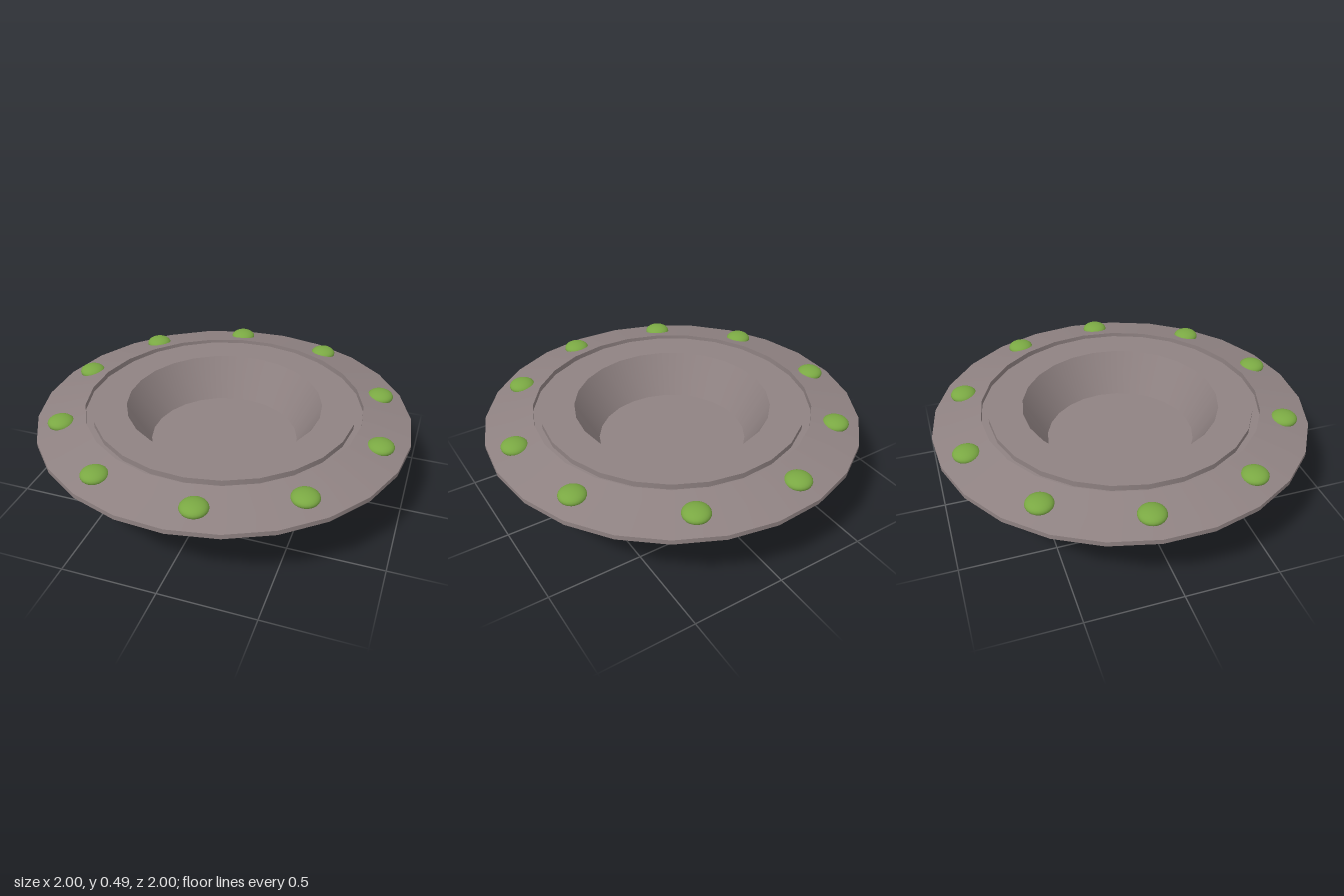
import * as THREE from 'three';

const SIDES = 25;
const hullMat = new THREE.MeshStandardMaterial({ color: 0x8f8282 });
const lightMat = new THREE.MeshStandardMaterial({ color: 0x7aa843 });

// One smooth band of the hull, revolved from [radius, height] pairs
function band(name, profile) {
  const points = profile.map(([r, y]) => new THREE.Vector2(r, y));
  const mesh = new THREE.Mesh(new THREE.LatheGeometry(points, SIDES, Math.PI / 2), hullMat);
  mesh.name = name;
  return mesh;
}

// A ring of flattened domes; angles in degrees run from +x towards +z
function lightRing(name, angles, ringRadius, y, size, height) {
  const ring = new THREE.Group();
  ring.name = name;
  const geometry = new THREE.SphereGeometry(1, 24, 16);
  angles.forEach((deg) => {
    const a = THREE.MathUtils.degToRad(deg);
    const dome = new THREE.Mesh(geometry, lightMat);
    dome.name = 'domeLight';
    dome.scale.set(size, height, size);
    dome.position.set(ringRadius * Math.cos(a), y, ringRadius * Math.sin(a));
    ring.add(dome);
  });
  return ring;
}

export function createModel() {
  const saucer = new THREE.Group();
  saucer.name = 'saucer';

  // Hull bands, from the bottom point outwards and back over the top
  const hull = new THREE.Group();
  hull.name = 'hull';
  hull.add(
    band('underside', [[0, 0], [0.5, 0.15], [0.64, 0.235], [0.78, 0.335], [1.004, 0.39]]),
    band('rimEdge', [[1.004, 0.39], [1.004, 0.415]]),
    band('upperSlope', [[1.004, 0.415], [0.745, 0.48]]),
    // Narrow groove around the deck
    band('grooveOuterWall', [[0.745, 0.48], [0.745, 0.45]]),
    band('grooveFloor', [[0.745, 0.45], [0.705, 0.45]]),
    band('grooveInnerWall', [[0.705, 0.45], [0.705, 0.48]]),
    // Deck and central recess
    band('deck', [[0.705, 0.48], [0.525, 0.48]]),
    band('recessWall', [[0.525, 0.48], [0.402, 0.26]]),
    band('recessFloor', [[0.402, 0.26], [0, 0.26]])
  );
  saucer.add(hull);

  // Slightly uneven rings of lights above and below
  saucer.add(
    lightRing('upperLights', [7.3, 46, 80, 116, 150.5, 188.5, 223, 259, 295, 334], 0.87, 0.449, 0.07, 0.036),
    lightRing('lowerLights', [40, 96, 155, 217, 277, 332], 0.59, 0.22, 0.075, 0.065)
  );

  saucer.position.x = -0.004;
  const model = new THREE.Group();
  model.name = 'model';
  model.add(saucer);
  return model;
}
